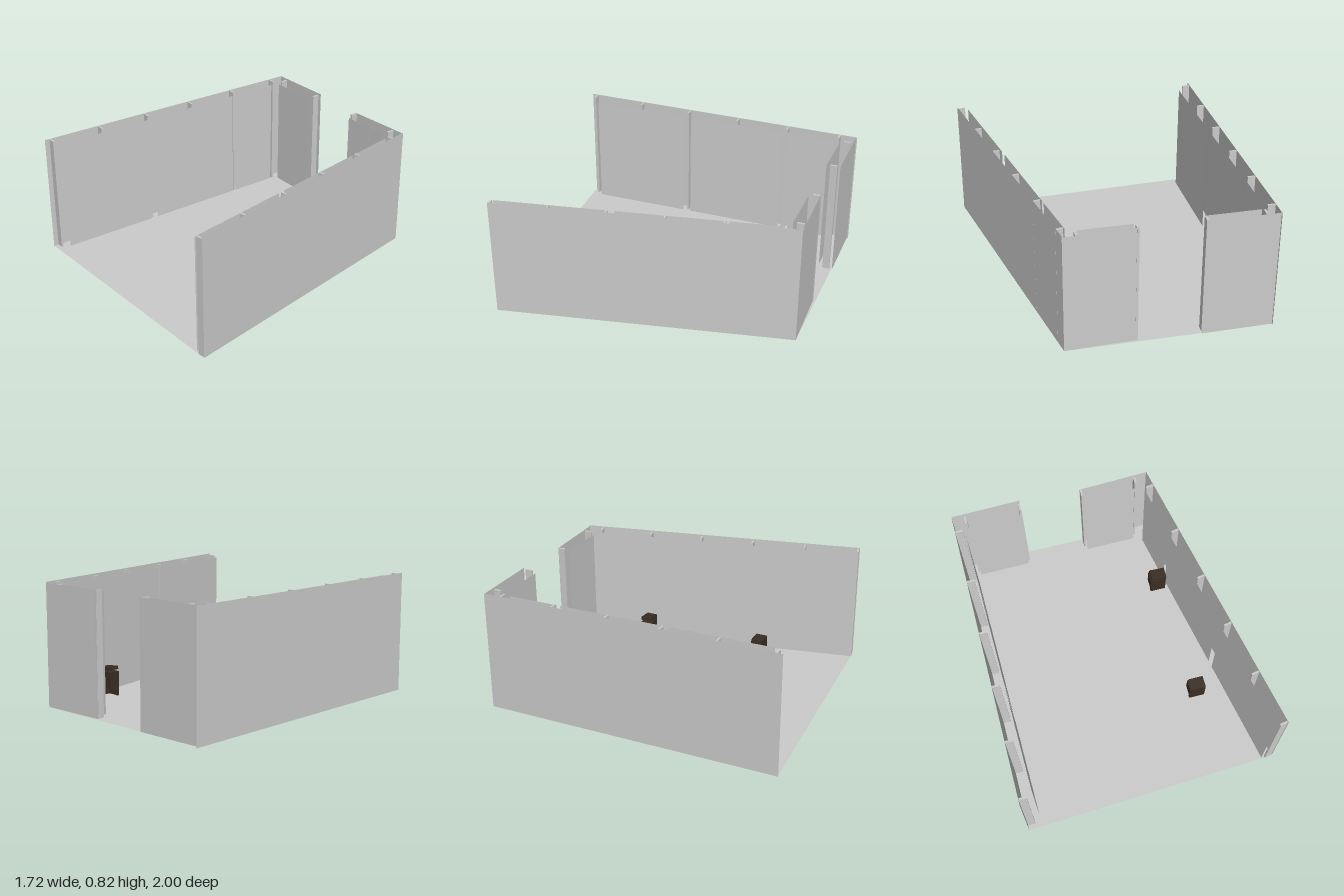
import * as THREE from 'three';

const grey = new THREE.MeshStandardMaterial({ color: 0xcccccc, side: THREE.DoubleSide });
const dark = new THREE.MeshStandardMaterial({ color: 0x3a2e24 });

// Upright thin sheet between two floor points [x, z]
function sheet(name, a, b, y0, y1) {
  const dx = b[0] - a[0], dz = b[1] - a[1];
  const mesh = new THREE.Mesh(new THREE.PlaneGeometry(Math.hypot(dx, dz), y1 - y0), grey);
  mesh.position.set((a[0] + b[0]) / 2, (y0 + y1) / 2, (a[1] + b[1]) / 2);
  mesh.rotation.y = Math.atan2(-dz, dx);
  mesh.name = name;
  return mesh;
}

function box(name, size, pos, mat = grey) {
  const mesh = new THREE.Mesh(new THREE.BoxGeometry(...size), mat);
  mesh.position.set(...pos);
  mesh.name = name;
  return mesh;
}

// Inner lining boards laid along a line, as [start, end] fractions
function lining(a, b, spans) {
  const at = t => [a[0] + (b[0] - a[0]) * t, a[1] + (b[1] - a[1]) * t];
  return spans.map(([s, e]) => sheet('innerPanel', at(s), at(e), 0.02, 0.795));
}

// Small dark cabinet: raised body, side and front boards, optional tilted lid
function cabinet(x, z, withLid) {
  const g = new THREE.Group();
  g.name = 'cabinet';
  g.add(
    box('body', [0.09, 0.11, 0.07], [0.005, 0.11, 0], dark),
    box('sideBoard', [0.02, 0.165, 0.08], [0.045, 0.0825, 0], dark),
    box('frontBoard', [0.1, 0.165, 0.012], [0.005, 0.0825, 0.034], dark),
    box('edgeBoard', [0.015, 0.12, 0.075], [-0.047, 0.105, 0], dark),
    box('leg', [0.015, 0.06, 0.015], [-0.045, 0.03, 0.03], dark)
  );
  if (withLid) {
    [[-0.022, 0.05], [0.03, 0.055]].forEach(([lx, w], i) => {
      const lid = box('lid', [w, 0.022, 0.075], [lx, 0.187 - i * 0.004, 0], dark);
      lid.rotation.z = -0.12;
      g.add(lid);
    });
  } else {
    g.add(box('top', [0.1, 0.012, 0.08], [0.005, 0.166, 0], dark));
  }
  g.position.set(x, 0.01, z);
  return g;
}

export function createModel() {
  const model = new THREE.Group();
  model.name = 'room';

  // Floor
  const outline = [[-0.86, -0.995], [0.47, -0.99], [0.86, 0.92], [-0.86, 1]];
  const shape = new THREE.Shape(outline.map(([x, z]) => new THREE.Vector2(x, -z)));
  const floor = new THREE.Mesh(new THREE.ShapeGeometry(shape), grey);
  floor.rotation.x = -Math.PI / 2;
  floor.position.y = 0.008;
  floor.name = 'floor';
  model.add(floor);

  // Wall on the -x side
  const wallA = new THREE.Group();
  wallA.name = 'rightWall';
  wallA.add(sheet('outerSheet', [-0.862, -1], [-0.862, 1], 0, 0.812));
  for (let i = 0; i < 6; i++) {
    wallA.add(box('stud', [0.05, 0.8, 0.013], [-0.836, 0.41, -0.88 + i * 0.368]));
  }
  wallA.add(...lining([-0.798, -0.85], [-0.772, 0.918], [[0, 0.19], [0.205, 0.59], [0.62, 1]]));
  model.add(wallA);

  // Slanted wall on the +x side
  const wallB = new THREE.Group();
  wallB.name = 'leftWall';
  wallB.add(sheet('outerSheet', [0.47, -0.99], [0.862, 0.92], 0.008, 0.82));
  const slant = Math.atan2(0.392, 1.91);
  for (let i = 0; i < 6; i++) {
    const stud = box('stud', [0.05, 0.8, 0.013], [0.467 + i * 0.0735, 0.41, -0.883 + i * 0.3595]);
    stud.rotation.y = slant;
    wallB.add(stud);
  }
  wallB.add(...lining([0.43, -0.87], [0.787, 0.92], [[0, 0.185], [0.2, 0.575], [0.6, 1]]));
  model.add(wallB);

  // Back wall in two pieces with a doorway between
  const back = new THREE.Group();
  back.name = 'backWall';
  back.add(
    sheet('outerSheet', [-0.86, -0.993], [-0.4, -0.998], 0.008, 0.812),
    sheet('outerSheet', [0.005, -0.975], [0.47, -0.99], 0.008, 0.812),
    sheet('innerPanel', [-0.77, -0.9], [-0.418, -0.9], 0.02, 0.795),
    sheet('innerPanel', [0.022, -0.9], [0.366, -0.9], 0.02, 0.795)
  );
  for (const x of [-0.776, -0.409, 0.014, 0.383]) {
    back.add(box('stud', [0.014, 0.8, 0.048], [x, 0.41, -0.953]));
  }
  model.add(back);

  model.add(cabinet(0.435, -0.503, true), cabinet(0.482, 0.342, false));
  return model;
}
